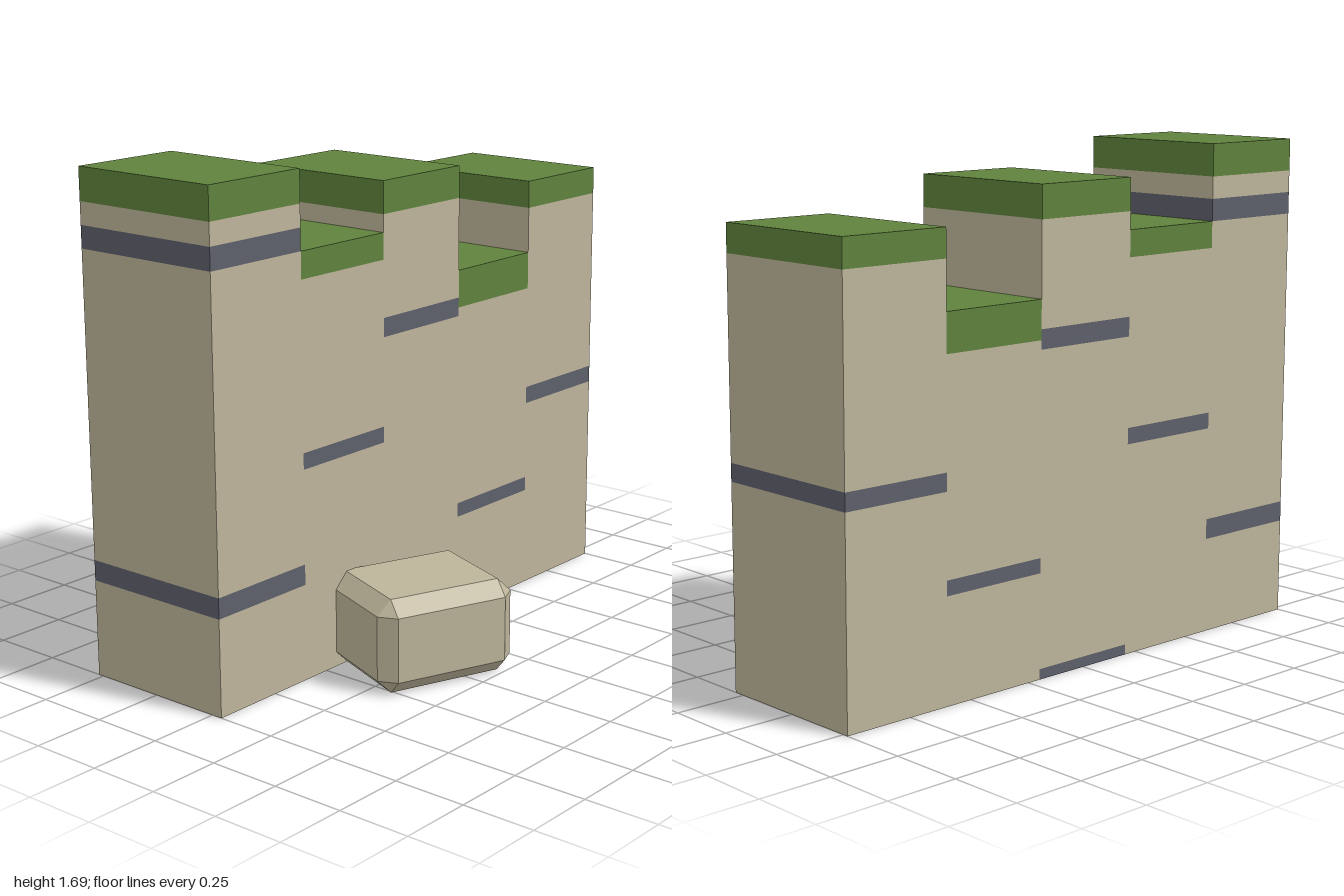
import * as THREE from 'three';
import { ConvexGeometry } from 'three/addons/geometries/ConvexGeometry.js';

const mat = (name, color) => new THREE.MeshStandardMaterial({ name, color, flatShading: true });

export function createModel() {
  const sandstone = mat('sandstone', 0xbdb49a);
  const slate = mat('slate', 0x5d5f6b);
  const grass = mat('grass', 0x5f823d);
  const model = new THREE.Group();
  model.name = 'ruinedWall';

  const X = -0.24, WIDTH = 0.56, DEPTH = 0.4;

  // Wall columns from front to back: grass start, top, and slate bands [low, high]
  const columns = [
    { z: 0.8, grassY: 1.58, top: 1.69, bands: [[0.33, 0.4], [1.43, 1.505]] },
    { z: 0.4, grassY: 1.34, top: 1.43, bands: [[0.72, 0.775]] },
    { z: 0, grassY: 1.49, top: 1.6, bands: [[0, 0.035], [1.08, 1.145]] },
    { z: -0.4, grassY: 1.11, top: 1.24, bands: [[0.355, 0.405]] },
    { z: -0.8, grassY: 1.4, top: 1.495, bands: [[0.685, 0.745]] },
  ];

  columns.forEach(({ z, grassY, top, bands }) => {
    const column = new THREE.Group();
    column.name = 'wallColumn';
    column.position.set(X, 0, z);
    const layer = (name, low, high, material) => {
      if (high - low < 0.001) return;
      const mesh = new THREE.Mesh(new THREE.BoxGeometry(WIDTH, high - low, DEPTH), material);
      mesh.name = name;
      mesh.position.y = (low + high) / 2;
      column.add(mesh);
    };
    // Stack stone and slate upwards, then cap with grass
    let y = 0;
    for (const [low, high] of bands) {
      layer('stone', y, low, sandstone);
      layer('slateBand', low, high, slate);
      y = high;
    }
    layer('stone', y, grassY, sandstone);
    layer('grassCap', grassY, top, grass);
    model.add(column);
  });

  // Fallen block: a box with every edge chamfered
  const half = [0.21, 0.16, 0.25], chamfer = 0.05, points = [];
  for (const sx of [-1, 1]) for (const sy of [-1, 1]) for (const sz of [-1, 1]) {
    for (let full = 0; full < 3; full++) {
      const p = [sx, sy, sz].map((s, i) => s * (half[i] - (i === full ? 0 : chamfer)));
      points.push(new THREE.Vector3(...p));
    }
  }
  const block = new THREE.Mesh(new ConvexGeometry(points), sandstone);
  block.name = 'fallenBlock';
  block.position.set(0.247, 0.16, 0.263);
  block.rotation.y = -0.375;
  model.add(block);

  return model;
}
